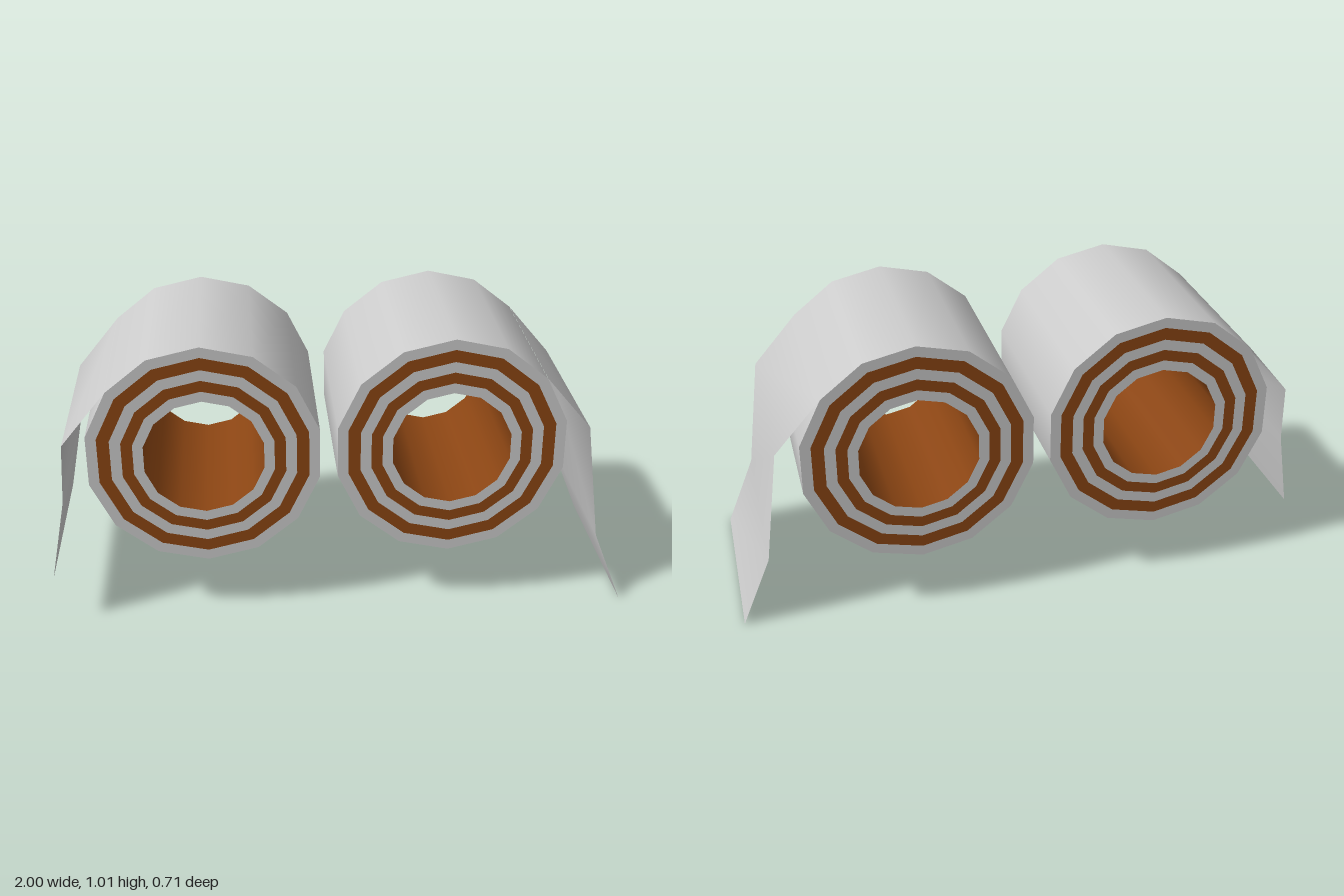
import * as THREE from 'three';

const SIDES = 14;
const Z_BACK = -0.355, Z_FRONT = 0.31;
const CENTRE_Y = 0.61;
// Radii of the alternating paper and card bands, outside to inside
const RADII = [0.4, 0.363, 0.32, 0.282, 0.243, 0.207];

const paper = new THREE.MeshStandardMaterial({ color: 0xcccccc, side: THREE.DoubleSide });
const card = new THREE.MeshStandardMaterial({ color: 0x8b4513, side: THREE.DoubleSide });

function add(parent, name, geometry, material) {
  const mesh = new THREE.Mesh(geometry, material);
  mesh.name = name;
  parent.add(mesh);
  return mesh;
}

// Open tube along z with a corner at the top
function tube(radius) {
  return new THREE.CylinderGeometry(radius, radius, Z_FRONT - Z_BACK, SIDES, 1, true)
    .rotateX(Math.PI / 2)
    .translate(0, 0, (Z_FRONT + Z_BACK) / 2);
}

// Loose sheet: each point is [x, y, sideways drift along z]
function sheet(points) {
  const positions = [], index = [];
  points.forEach(([x, y, drift], i) => {
    positions.push(x, y, Z_FRONT + drift, x, y, Z_BACK + drift);
    if (i > 0) {
      const a = 2 * (i - 1);
      index.push(a, a + 2, a + 1, a + 1, a + 2, a + 3);
    }
  });
  const geometry = new THREE.BufferGeometry();
  geometry.setAttribute('position', new THREE.Float32BufferAttribute(positions, 3));
  // Keep the front of the sheet facing away from the roll
  if (points[points.length - 1][0] < 0) index.reverse();
  geometry.setIndex(index);
  geometry.computeVertexNormals();
  return geometry;
}

function roll(name, centreX) {
  const group = new THREE.Group();
  group.name = name;
  group.position.set(centreX, CENTRE_Y, 0);
  add(group, 'outerPaper', tube(RADII[0]), paper);
  add(group, 'coreWall', tube(RADII[5]), card);
  // Striped ends
  for (let i = 0; i < RADII.length - 1; i++) {
    const material = i % 2 ? card : paper;
    const ring = () => new THREE.RingGeometry(RADII[i + 1], RADII[i], SIDES, 1, Math.PI / 2);
    add(group, 'frontBand' + (i + 1), ring().translate(0, 0, Z_FRONT), material);
    add(group, 'backBand' + (i + 1), ring().rotateY(Math.PI).translate(0, 0, Z_BACK), material);
  }
  return group;
}

export function createModel() {
  const model = new THREE.Group();
  model.name = 'paperRolls';
  model.add(roll('leftRoll', 0.375), roll('rightRoll', -0.465));

  // Loose ends leave each roll at its upper outer corner
  add(model, 'leftLooseSheet', sheet([
    [0.688, 0.86, 0], [0.845, 0.675, 0.008], [0.897, 0.26, 0.03], [1, 0, 0.044],
  ]), paper);
  add(model, 'rightLooseSheet', sheet([
    [-0.778, 0.86, 0], [-0.933, 0.675, 0.01], [-0.945, 0.47, 0.024], [-1, 0.185, 0.043],
  ]), paper);
  return model;
}
